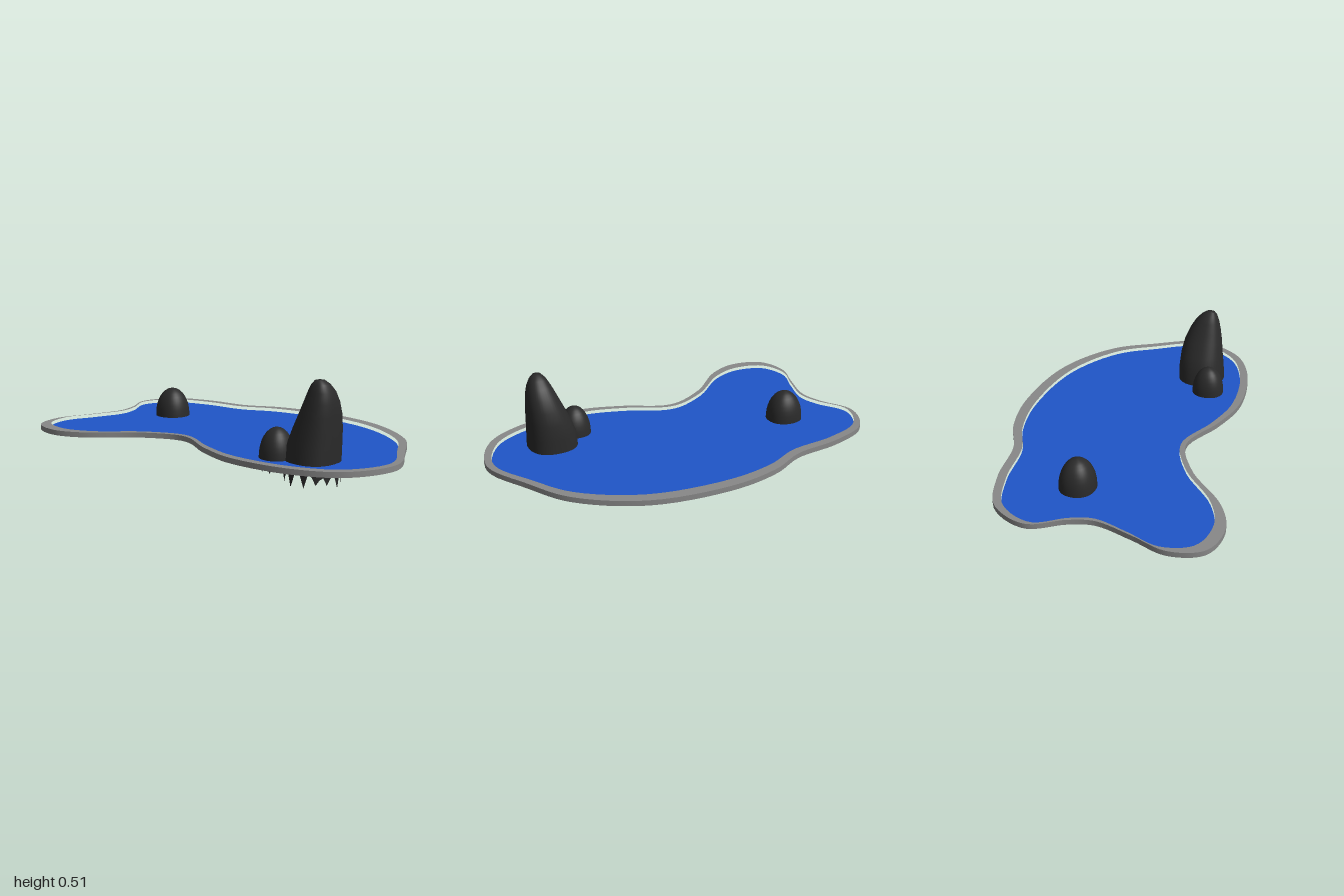
import * as THREE from 'three';
import { toCreasedNormals } from 'three/addons/utils/BufferGeometryUtils.js';

// Shoreline control points (x, z), walked around the pond
const SHORE = [
  [-0.46, -0.97], [-0.28, -0.92], [-0.09, -0.877], [0.03, -0.91], [0.2, -1.0], [0.39, -0.92], [0.48, -0.71],
  [0.52, -0.45], [0.61, -0.265], [0.66, 0], [0.612, 0.42], [0.425, 0.73], [0.215, 0.87],
  [-0.04, 0.993], [-0.29, 0.9], [-0.415, 0.69], [-0.458, 0.35], [-0.4, 0.12],
  [-0.297, -0.13], [-0.395, -0.355], [-0.595, -0.57], [-0.663, -0.74], [-0.62, -0.91],
];

// Shape lies in (x, -z) so that it can be laid flat by a rotation about x
function shoreline(map) {
  const pts = SHORE.map(([x, z]) => { const [a, b] = map(x, z); return new THREE.Vector3(a, -b, 0); });
  const curve = new THREE.CatmullRomCurve3(pts, true, 'centripetal');
  return curve.getPoints(140).slice(0, -1).map((p) => new THREE.Vector2(p.x, p.y));
}

function seeded(seed) {
  return () => (seed = (seed * 16807) % 2147483647) / 2147483647;
}

// Hollow boulder: rings of [y, xMin, xMax, zMin, zMax], closed on top,
// with an irregular fringe of points hanging from the lowest ring
function rock(name, rings, fringe, square, seed, material) {
  const N = 40, rand = seeded(seed), pos = [], idx = [];
  const soften = (v) => Math.sign(v) * Math.pow(Math.abs(v), square);
  const teeth = Array.from({ length: N }, (_, i) =>
    fringe * (i % 3 === 0 ? 0.6 + 0.4 * rand() : 0.35 * rand()));
  const loops = [rings[0], ...rings];
  loops.forEach(([y, x0, x1, z0, z1], r) => {
    for (let i = 0; i < N; i++) {
      const a = (i / N) * Math.PI * 2;
      pos.push((x0 + x1) / 2 + soften(Math.cos(a)) * (x1 - x0) / 2,
        r === 0 ? y - teeth[i] : y,
        (z0 + z1) / 2 + soften(Math.sin(a)) * (z1 - z0) / 2);
    }
  });
  for (let r = 0; r < loops.length - 1; r++) {
    for (let i = 0; i < N; i++) {
      const a = r * N + i, b = r * N + (i + 1) % N;
      idx.push(a, a + N, b, b, a + N, b + N);
    }
  }
  // Crown
  const [y, x0, x1, z0, z1] = rings[rings.length - 1], base = (loops.length - 1) * N;
  pos.push((x0 + x1) / 2, y + 0.002, (z0 + z1) / 2);
  for (let i = 0; i < N; i++) idx.push(base + i, loops.length * N, base + (i + 1) % N);
  const g = new THREE.BufferGeometry();
  g.setAttribute('position', new THREE.Float32BufferAttribute(pos, 3));
  g.setIndex(idx);
  g.computeVertexNormals();
  const mesh = new THREE.Mesh(g, material);
  mesh.name = name;
  return mesh;
}

// Rings of a simple dome rock
function dome(cx, cz, rx, rz, base, top) {
  const rings = [[base, cx - rx, cx + rx, cz - rz, cz + rz]];
  const spring = base + (top - base) * 0.2;
  for (let k = 0; k <= 8; k++) {
    const t = (k / 8) * 1.5, c = 0.98 * Math.cos(t);
    rings.push([spring + (top - spring) * Math.sin(t), cx - rx * c, cx + rx * c, cz - rz * c, cz + rz * c]);
  }
  return rings;
}

export function createModel() {
  const group = new THREE.Group();
  group.name = 'pond';
  const stone = new THREE.MeshStandardMaterial({ color: 0x888888 });
  const blue = new THREE.MeshStandardMaterial({ color: 0x1f56c8, side: THREE.DoubleSide });
  const dark = new THREE.MeshStandardMaterial({ color: 0x2a2a2a, side: THREE.DoubleSide });

  // Stone rim, wider along the sides than at the ends
  const outer = shoreline((x, z) => [x, z]);
  const inner = shoreline((x, z) => [x * 0.912, z * 0.972 - 0.008]);
  const rimShape = new THREE.Shape(outer);
  rimShape.holes.push(new THREE.Path(inner));
  const rimGeo = new THREE.ExtrudeGeometry(rimShape, { depth: 0.027, bevelEnabled: false });
  rimGeo.rotateX(-Math.PI / 2).translate(0, 0.119, 0);
  const rim = new THREE.Mesh(toCreasedNormals(rimGeo, 0.6), stone);
  rim.name = 'rim';
  group.add(rim);

  // Water sheet, a little below the rim's top
  const waterGeo = new THREE.ShapeGeometry(new THREE.Shape(inner));
  waterGeo.rotateX(-Math.PI / 2).translate(0, 0.128, 0);
  const water = new THREE.Mesh(waterGeo, blue);
  water.name = 'water';
  group.add(water);

  // Tall leaning rock
  group.add(rock('tallRock', [
    [0.09, -0.295, -0.04, 0.48, 0.738],
    [0.2, -0.285, -0.038, 0.49, 0.738],
    [0.28, -0.272, -0.042, 0.52, 0.738],
    [0.35, -0.262, -0.055, 0.553, 0.737],
    [0.41, -0.25, -0.078, 0.58, 0.733],
    [0.46, -0.238, -0.106, 0.603, 0.722],
    [0.495, -0.226, -0.137, 0.622, 0.705],
    [0.515, -0.213, -0.165, 0.642, 0.685],
  ], 0.085, 0.85, 17, dark));

  // Small rocks
  group.add(rock('smallRockFront', dome(-0.245, 0.455, 0.087, 0.083, 0.1, 0.275), 0.035, 0.92, 91, dark));
  group.add(rock('smallRockBack', dome(0.093, -0.63, 0.092, 0.097, 0.105, 0.285), 0.055, 0.92, 53, dark));
  return group;
}
